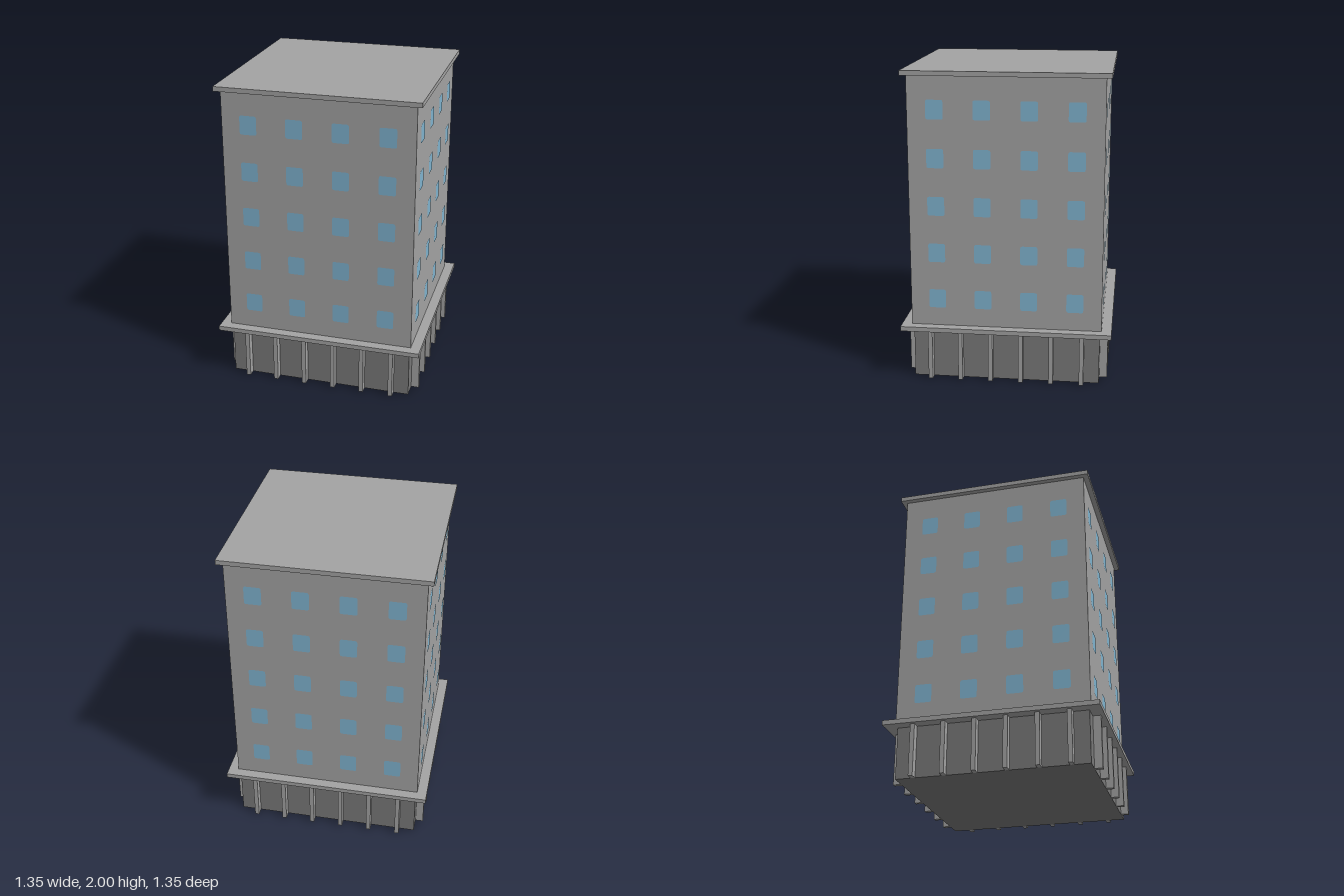
import * as THREE from 'three';

export function createModel() {
  const paint = (name, color) => {
    const m = new THREE.MeshStandardMaterial({ color });
    m.name = name;
    return m;
  };
  const concrete = paint('concrete grey', 0xa3a3a3);
  const darkConcrete = paint('dark grey', 0x797979);
  const glass = paint('window blue', 0x80b4d0);

  const model = new THREE.Group();
  model.name = 'towerBlock';

  // Square storeys and slabs: half width, bottom, top
  const block = (name, half, y0, y1, material) => {
    const mesh = new THREE.Mesh(new THREE.BoxGeometry(half * 2, y1 - y0, half * 2), material);
    mesh.position.y = (y0 + y1) / 2;
    mesh.name = name;
    model.add(mesh);
  };
  block('groundFloor', 0.6, 0, 0.33, darkConcrete);
  block('ledge', 0.675, 0.33, 0.36, concrete);
  block('tower', 0.611, 0.36, 1.97, concrete);
  block('roofSlab', 0.645, 1.97, 2, concrete);

  // Window pane with slightly rounded corners
  const w = 0.054, h = 0.061, r = 0.014;
  const pane = new THREE.Shape();
  pane.moveTo(-w + r, -h);
  pane.lineTo(w - r, -h);
  pane.quadraticCurveTo(w, -h, w, -h + r);
  pane.lineTo(w, h - r);
  pane.quadraticCurveTo(w, h, w - r, h);
  pane.lineTo(-w + r, h);
  pane.quadraticCurveTo(-w, h, -w, h - r);
  pane.lineTo(-w, -h + r);
  pane.quadraticCurveTo(-w, -h, -w + r, -h);
  const paneGeometry = new THREE.ShapeGeometry(pane, 4);
  const pillarGeometry = new THREE.BoxGeometry(0.028, 0.33, 0.05);

  // The same facade on all four sides
  ['front', 'left', 'back', 'right'].forEach((side, k) => {
    const facade = new THREE.Group();
    facade.name = side + 'Facade';
    facade.rotation.y = k * Math.PI / 2;

    for (let row = 0; row < 5; row++) {
      for (let col = 0; col < 4; col++) {
        const mesh = new THREE.Mesh(paneGeometry, glass);
        mesh.name = 'window';
        mesh.position.set((col - 1.5) * 0.293, 0.54 + row * 0.305, 0.614);
        facade.add(mesh);
      }
    }

    // Pillars under the ledge
    for (let i = 0; i < 6; i++) {
      const pillar = new THREE.Mesh(pillarGeometry, concrete);
      pillar.name = 'pillar';
      pillar.position.set((i - 2.5) * 0.195, 0.165, 0.625);
      facade.add(pillar);
    }
    model.add(facade);
  });

  return model;
}
